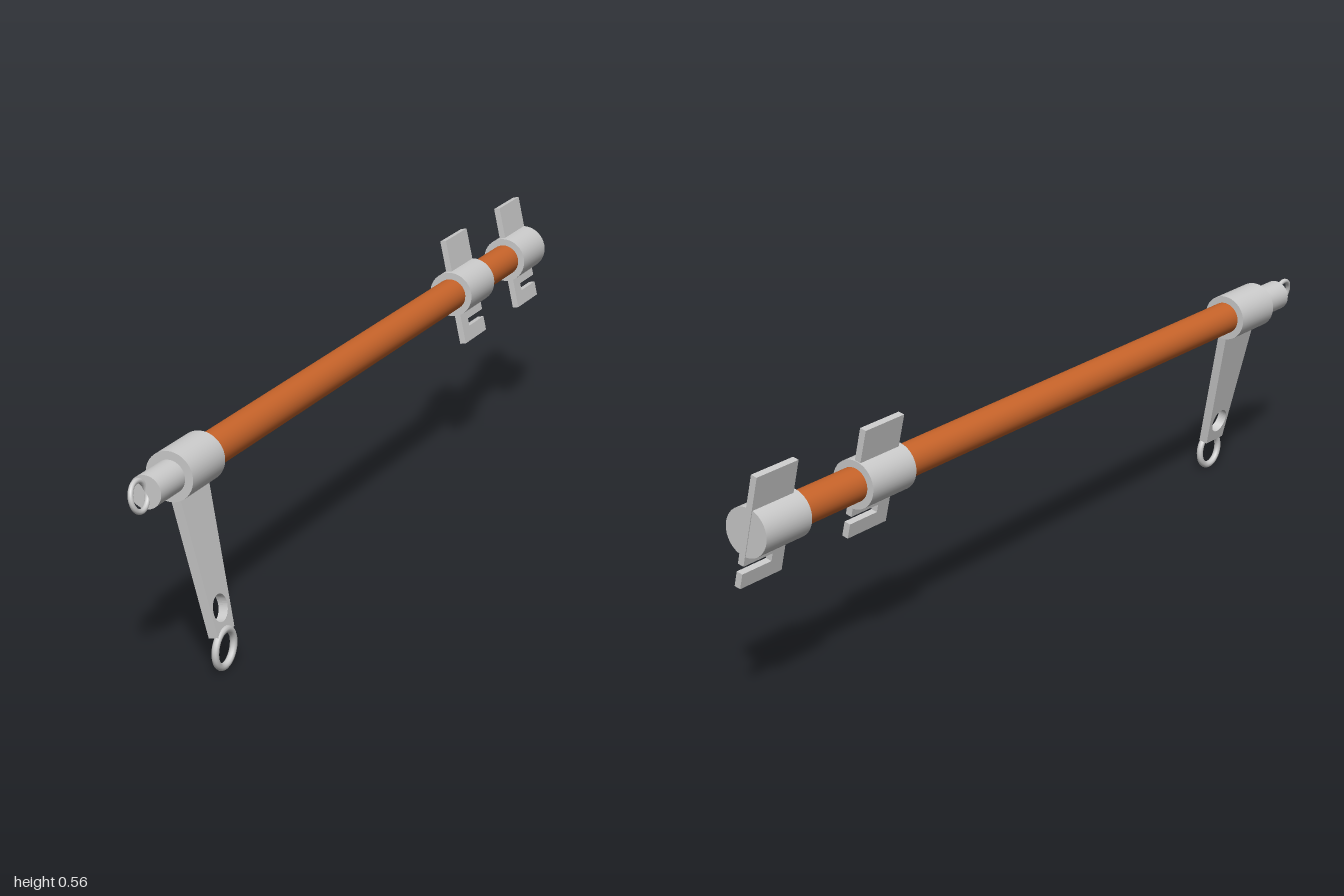
import * as THREE from 'three';

const grey = new THREE.MeshStandardMaterial({ color: 0xcccccc });
const orange = new THREE.MeshStandardMaterial({ color: 0xc8642a });

function add(parent, name, geometry, material = grey) {
  const mesh = new THREE.Mesh(geometry, material);
  mesh.name = name;
  parent.add(mesh);
  return mesh;
}

// Cylinder lying along z between two z positions
function barrel(parent, name, radius, z0, z1, material) {
  const g = new THREE.CylinderGeometry(radius, radius, z1 - z0, 40);
  g.rotateX(Math.PI / 2).translate(0, 0, (z0 + z1) / 2);
  return add(parent, name, g, material);
}

// Plate drawn as [z, y] points, extruded evenly about x = 0
function plate(parent, name, points, thickness, hole) {
  const shape = new THREE.Shape(points.map(([z, y]) => new THREE.Vector2(z, y)));
  if (hole) shape.holes.push(new THREE.Path().absarc(hole.z, hole.y, hole.r, 0, Math.PI * 2, true));
  const g = new THREE.ExtrudeGeometry(shape, { depth: thickness, bevelEnabled: false, curveSegments: 24 });
  g.translate(0, 0, -thickness / 2).rotateY(-Math.PI / 2);
  return add(parent, name, g);
}

function ring(parent, name, radius, tube) {
  return add(parent, name, new THREE.TorusGeometry(radius, tube, 10, 36).rotateY(Math.PI / 2));
}

export function createModel() {
  const model = new THREE.Group();
  model.name = 'rodAssembly';

  // Everything on the rod shares its axis, rolled and pitched slightly
  const rod = new THREE.Group();
  rod.name = 'rodGroup';
  rod.position.set(-0.0205, 0.4275, 0);
  rod.rotation.set(0.0025, 0, 0.217);
  model.add(rod);

  barrel(rod, 'rod', 0.0375, -0.9, 0.75, orange);

  // Front fitting with its end ring
  barrel(rod, 'frontCollar', 0.0535, 0.708, 0.842);
  barrel(rod, 'frontStub', 0.0355, 0.8, 0.938);
  ring(rod, 'endRing', 0.0305, 0.0058).position.z = 0.963;

  // Tapered lever with a hole near its lower end
  const zc = 0.778;
  plate(rod, 'lever', [
    [zc - 0.061, -0.03], [zc - 0.035, -0.353], [zc + 0.035, -0.353], [zc + 0.061, -0.03],
  ], 0.0218, { z: zc + 0.002, y: -0.3, r: 0.029 });

  // Rear fittings: collar crossed by a plate with a slot open to the back
  for (const [name, back] of [['middle', -0.672], ['rear', -1]]) {
    barrel(rod, name + 'Collar', 0.0535, back - 0.002 + (name === 'rear' ? 0.004 : 0), back + 0.137);
    const front = back + 0.123, slot = back + 0.086;
    plate(rod, name + 'Plate', [
      [back, 0.128], [back, -0.074], [slot, -0.074], [slot, -0.092],
      [back, -0.092], [back, -0.126], [front, -0.126], [front, 0.128],
    ], 0.015);
  }

  // Upright ring at the foot of the lever
  ring(model, 'leverRing', 0.0395, 0.008).position.set(0.063, 0.049, 0.78);

  return model;
}
